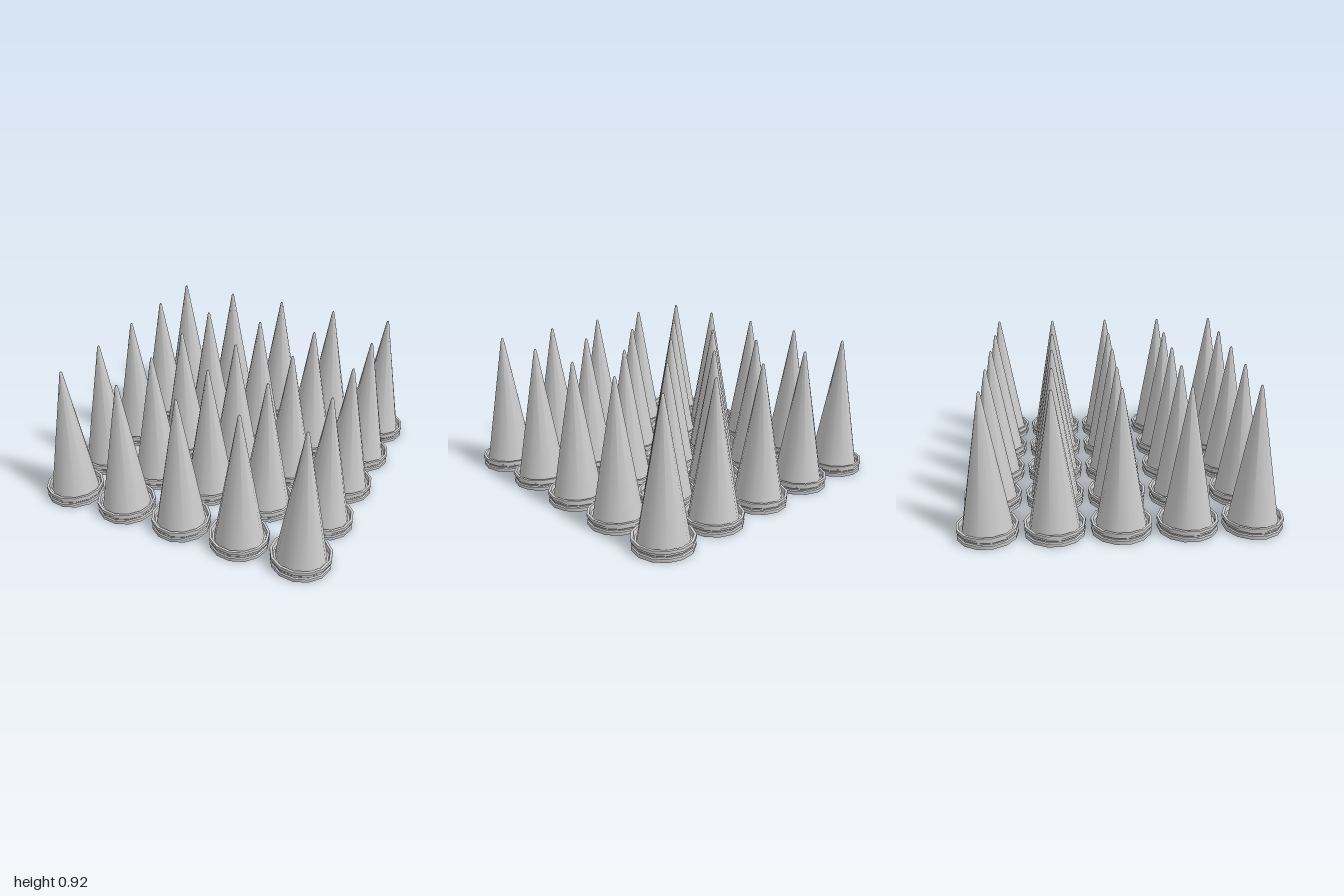
import * as THREE from 'three';
import { toCreasedNormals } from 'three/addons/utils/BufferGeometryUtils.js';

const SIDES = 13;
const COUNT = 5;

// Revolve a [radius, height] profile, with one corner of the polygon on +x
function revolve(profile) {
  const points = profile.map(([r, y]) => new THREE.Vector2(r, y));
  const geometry = new THREE.LatheGeometry(points, SIDES, Math.PI / 2);
  return toCreasedNormals(geometry, THREE.MathUtils.degToRad(32));
}

export function createModel() {
  const model = new THREE.Group();
  model.name = 'spikeGrid';
  const material = new THREE.MeshStandardMaterial({ color: 0xcccccc, side: THREE.DoubleSide });

  // Hollow cone, open below, with a small rounded tip
  const coneGeometry = revolve([
    [0.16, 0.02], [0.151, 0.073], [0.012, 0.885], [0.009, 0.903], [0.005, 0.912], [0, 0.915],
  ]);

  // Grooved rim with a raised outer lip
  const rimGeometry = revolve([
    [0.16, 0.02], [0.163, 0], [0.187, 0], [0.188, 0.022], [0.18, 0.027], [0.18, 0.035],
    [0.184, 0.04], [0.184, 0.05], [0.19, 0.053], [0.19, 0.073], [0.174, 0.073],
    [0.168, 0.045], [0.156, 0.045],
  ]);

  // Five by five grid
  for (let row = 0; row < COUNT; row++) {
    for (let col = 0; col < COUNT; col++) {
      const spike = new THREE.Group();
      spike.name = `spike_${row}_${col}`;
      const cone = new THREE.Mesh(coneGeometry, material);
      cone.name = 'cone';
      const rim = new THREE.Mesh(rimGeometry, material);
      rim.name = 'rim';
      spike.add(cone, rim);
      spike.position.set((col - 2) * 0.4064 - 0.003, 0, (row - 2) * 0.4057);
      model.add(spike);
    }
  }
  return model;
}
